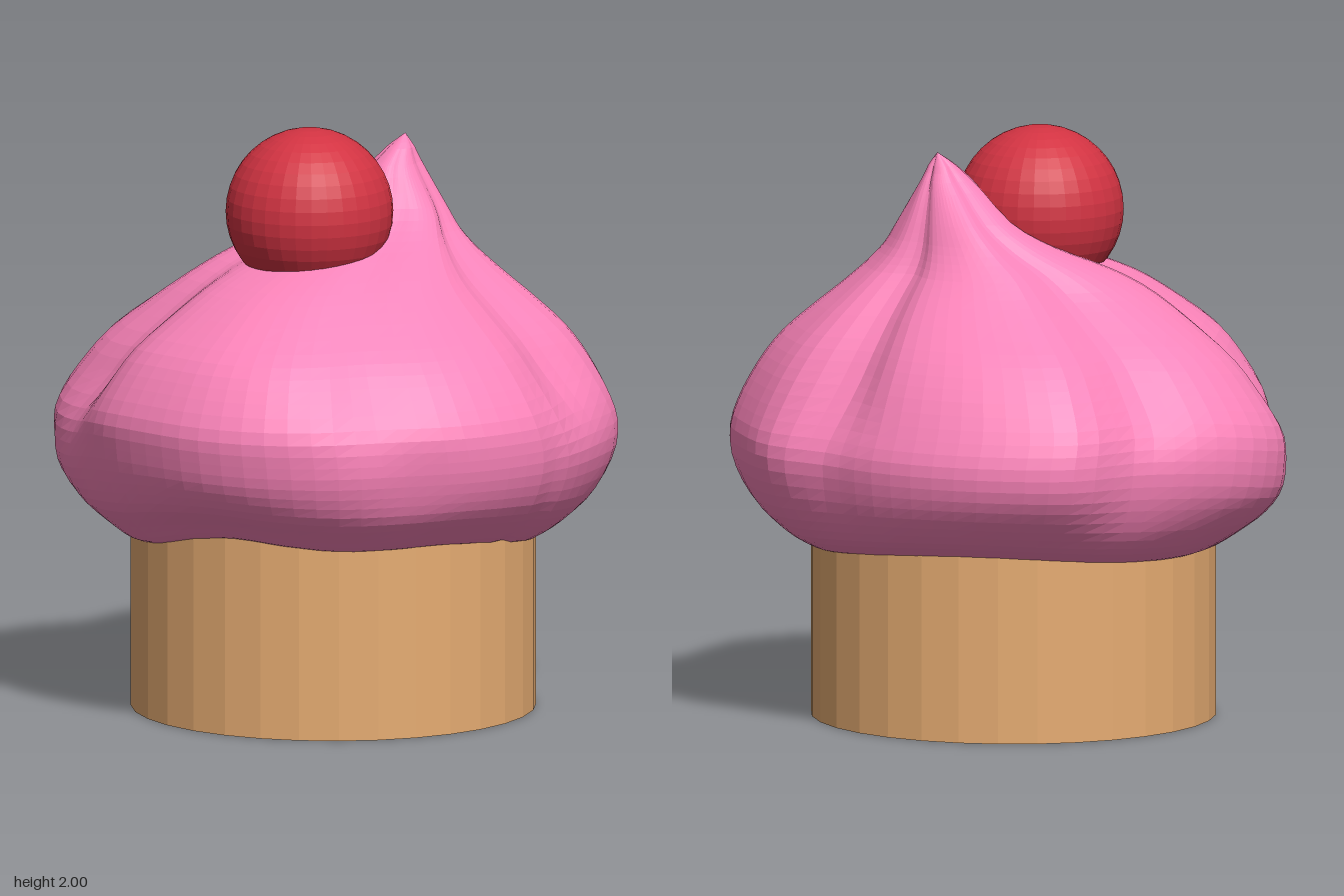
import * as THREE from 'three';

const { smoothstep, degToRad } = THREE.MathUtils;
const paint = (color, side = THREE.FrontSide) =>
  new THREE.MeshStandardMaterial({ color, flatShading: true, side });

// Whipped icing: cross-sections as [y, minX, maxX, minZ, maxZ], leaning to an off-centre tip
const SECTIONS = [
  [0.61, -0.6, 0.6, -0.61, 0.59],
  [0.635, -0.69, 0.69, -0.70, 0.68],
  [0.68, -0.77, 0.76, -0.78, 0.74],
  [0.76, -0.85, 0.85, -0.85, 0.83],
  [0.86, -0.91, 0.9, -0.89, 0.88],
  [0.97, -0.93, 0.92, -0.9, 0.905],
  [1.08, -0.91, 0.905, -0.86, 0.91],
  [1.2, -0.83, 0.83, -0.8, 0.85],
  [1.3, -0.73, 0.74, -0.73, 0.77],
  [1.4, -0.58, 0.61, -0.64, 0.63],
  [1.48, -0.46, 0.5, -0.56, 0.49],
  [1.55, -0.37, 0.41, -0.49, 0.31],
  [1.62, -0.27, 0.32, -0.44, 0.1],
  [1.7, -0.17, 0.25, -0.4, -0.06],
  [1.83, -0.02, 0.16, -0.345, -0.145],
  [1.9, 0.04, 0.12, -0.31, -0.225],
  [1.94, 0.08, 0.08, -0.29, -0.29],
];

// Outline radius and rim height every 15 degrees, from +x towards +z
const LOBES = [
  0.92, 0.905, 0.885, 0.915, 0.935, 0.93, 0.905, 0.895, 0.88, 0.9, 0.95, 0.95,
  0.91, 0.88, 0.955, 0.945, 0.925, 0.905, 0.89, 0.955, 0.965, 0.985, 0.94, 0.925,
];
const RIM = [
  0.645, 0.658, 0.655, 0.655, 0.67, 0.685, 0.665, 0.625, 0.605, 0.595, 0.6, 0.6,
  0.605, 0.615, 0.63, 0.64, 0.64, 0.63, 0.615, 0.6, 0.59, 0.588, 0.597, 0.62,
];
// Creases between the lobes: [angle in degrees, depth, half-width in degrees]
const CREASES = [[38, 0.04, 10], [131, 0.1, 13], [190, 0.05, 11], [271, 0.09, 11], [335, 0.09, 11]];

const closedCurve = (values) =>
  new THREE.CatmullRomCurve3(values.map((v, i) => new THREE.Vector3(v, i, 0)), true);

// Smooth bump around one direction
function bump(angle, deg, width) {
  const d = angle - degToRad(deg);
  const gap = Math.atan2(Math.sin(d), Math.cos(d)) / degToRad(width);
  return Math.exp(-gap * gap);
}

function icingGeometry(rings = 44, sides = 72) {
  const centres = new THREE.CatmullRomCurve3(SECTIONS.map(([y, x0, x1, z0, z1]) =>
    new THREE.Vector3((x0 + x1) / 2, y, (z0 + z1) / 2)));
  const radii = new THREE.CatmullRomCurve3(SECTIONS.map(([, x0, x1, z0, z1], i) =>
    new THREE.Vector3((x1 - x0) / 2, i, (z1 - z0) / 2)));
  const outline = closedCurve(LOBES.map((r) => r / 0.915 - 1));
  const rim = closedCurve(RIM.map((y) => y - 0.637));
  const positions = [], index = [];

  for (let i = 0; i <= rings; i++) {
    const c = centres.getPoint(i / rings), r = radii.getPoint(i / rings);
    // Lobes fade in from the rim; creases cut the upper slope up to the tip
    const lobe = smoothstep(c.y, 0.6, 0.92) + 0.3 * smoothstep(c.y, 1.05, 1.4);
    const crease = smoothstep(c.y, 0.9, 1.25);
    const sag = 1 - smoothstep(c.y, 0.65, 1.0);
    // The front-left lobe droops lower than the rest
    const droop = 0.08 * smoothstep(c.y, 0.65, 0.95) * (1 - smoothstep(c.y, 1.2, 1.55));
    for (let j = 0; j < sides; j++) {
      const a = (j / sides) * Math.PI * 2;
      const cut = CREASES.reduce((sum, [deg, depth, width]) => sum + depth * bump(a, deg, width), 0);
      const k = 1 + lobe * outline.getPoint(j / sides).x - crease * cut;
      positions.push(
        c.x + r.x * k * Math.cos(a),
        c.y + sag * rim.getPoint(j / sides).x - droop * bump(a, 142, 26),
        c.z + r.z * k * Math.sin(a));
    }
  }
  for (let i = 0; i < rings; i++) {
    for (let j = 0; j < sides; j++) {
      const n = (j + 1) % sides;
      const p = i * sides + j, q = i * sides + n;
      index.push(p, p + sides, q, q, p + sides, q + sides);
    }
  }
  const geometry = new THREE.BufferGeometry();
  geometry.setAttribute('position', new THREE.Float32BufferAttribute(positions, 3));
  geometry.setIndex(index);
  geometry.computeVertexNormals();
  return geometry;
}

export function createModel() {
  const group = new THREE.Group();
  group.name = 'cupcake';
  const add = (name, geometry, material, x, y, z) => {
    const mesh = new THREE.Mesh(geometry, material);
    mesh.name = name;
    mesh.position.set(x, y, z);
    group.add(mesh);
  };

  // Straight-sided cake, its top hidden inside the icing
  add('cakeBase', new THREE.CylinderGeometry(0.687, 0.687, 0.7, 32), paint(0xe6ac72), 0.005, 0.35, -0.015);
  add('icing', icingGeometry(), paint(0xfc84ba, THREE.DoubleSide), 0, 0, 0);
  // Cherry resting in front of the tip
  add('cherry', new THREE.SphereGeometry(0.284, 32, 20), paint(0xd23342), 0.012, 1.716, 0.11);
  return group;
}
